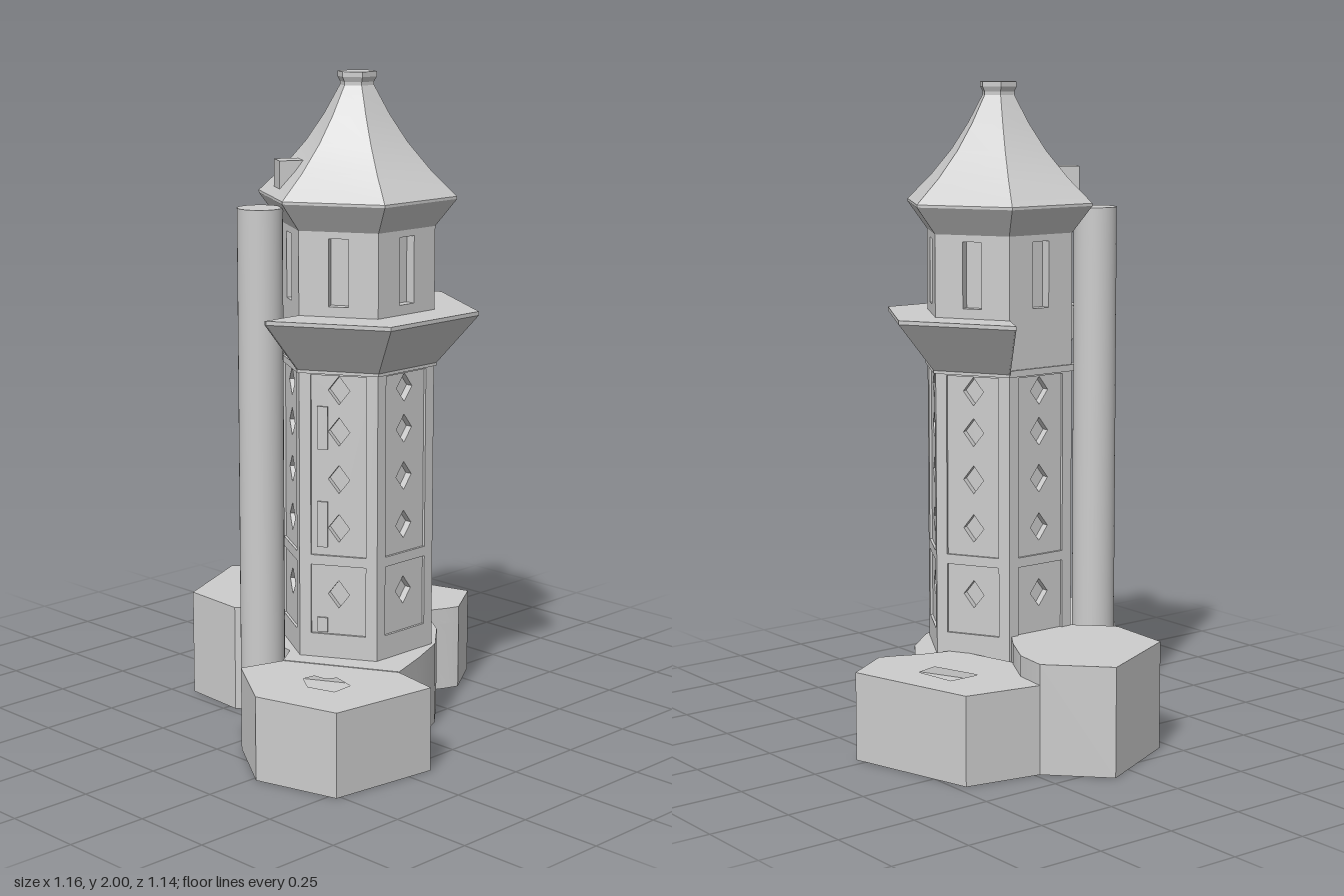
import * as THREE from 'three';
import { toCreasedNormals } from 'three/addons/utils/BufferGeometryUtils.js';

const stone = new THREE.MeshStandardMaterial({ color: 0xcccccc });
stone.name = 'grey stone';

const RADIUS = 0.24, APOTHEM = RADIUS * Math.cos(Math.PI / 6);
const CORE = APOTHEM - 0.03;

function add(parent, name, geometry, crease = 0.6) {
  const mesh = new THREE.Mesh(toCreasedNormals(geometry, crease), stone);
  mesh.name = name;
  parent.add(mesh);
  return mesh;
}

const toPath = (pts, Type = THREE.Shape) => new Type(pts.map(([x, y]) => new THREE.Vector2(x, y)));
const rect = (x0, x1, y0, y1) => [[x0, y0], [x1, y0], [x1, y1], [x0, y1]];
const diamond = (y) => [[0, y - 0.043], [0.033, y], [0, y + 0.043], [-0.033, y]];

// Flat sheet facing +z, pierced by holes, from depth z0 to z1
function plate(outline, holes, z0, z1) {
  const shape = toPath(outline);
  shape.holes = holes.map((h) => toPath(h, THREE.Path));
  const g = new THREE.ExtrudeGeometry(shape, { depth: z1 - z0, bevelEnabled: false });
  return g.translate(0, 0, z0);
}

// Block standing on the ground, outlined in x and z
function slab(outline, y0, y1, holes = []) {
  const flip = (pts) => pts.map(([x, z]) => [x, -z]);
  return plate(flip(outline), holes.map(flip), y0, y1).rotateX(-Math.PI / 2);
}

// Six-sided ring or solid from a radius/height profile, flat side to the front
function hexLathe(profile, start = Math.PI / 6, sides = 6) {
  const pts = profile.map(([r, y]) => new THREE.Vector2(r, y));
  return new THREE.LatheGeometry(pts, sides, start, sides * Math.PI / 3);
}

function createBase() {
  const base = new THREE.Group();
  base.name = 'base';

  add(base, 'centreBase', slab([
    [-0.14, 0.41], [0, 0.36], [0.13, 0.305], [0.24, 0.21], [0.33, 0.08], [0.2, -0.2],
    [-0.195, -0.185], [-0.21, -0.065], [-0.235, 0.04], [-0.31, 0.09],
  ], 0, 0.257));

  add(base, 'backBase', slab([
    [-0.21, -0.435], [0.08, -0.57], [0.235, -0.41], [0.22, -0.3], [0.155, -0.18],
    [0.1, -0.1], [-0.12, -0.11], [-0.195, -0.185], [-0.225, -0.22],
  ], 0, 0.333));

  // Side lobes, each with a shallow pit in its top
  const lobes = [
    ['leftBase', 0.27, [[0.235, -0.41], [0.47, -0.365], [0.58, 0.035], [0.43, 0.13], [0.385, 0.115],
      [0.31, 0.08], [0.2, 0.05], [0.14, -0.18], [0.2, -0.3]],
    [[0.31, -0.21], [0.41, -0.21], [0.43, -0.08], [0.36, -0.06]]],
    ['rightBase', 0.255, [[-0.445, 0.05], [-0.31, 0.09], [-0.2, 0.12], [-0.14, 0.41], [-0.17, 0.567],
      [-0.515, 0.525], [-0.585, 0.265]],
    [[-0.38, 0.25], [-0.34, 0.255], [-0.335, 0.3], [-0.305, 0.315], [-0.325, 0.39], [-0.395, 0.395], [-0.42, 0.31]]],
  ];
  for (const [name, height, outline, pit] of lobes) {
    add(base, name, slab(outline, 0, height - 0.05));
    add(base, name + 'Rim', slab(outline, height - 0.05, height, [pit]));
  }
  return base;
}

function createTower() {
  const tower = new THREE.Group();
  tower.name = 'tower';
  tower.position.z = 0.09;

  // Inner core closes the back of every recess
  add(tower, 'core', hexLathe([[0, 0.2], [CORE / Math.cos(Math.PI / 6), 0.2], [CORE / Math.cos(Math.PI / 6), 1.6], [0, 1.6]]));

  for (let i = 0; i < 6; i++) {
    const side = new THREE.Group();
    side.name = 'towerSide' + (i + 1);
    side.rotation.y = i * Math.PI / 3;
    tower.add(side);

    // Two framed panels with diamond recesses
    add(side, 'panelFrame', plate(rect(-0.12, 0.12, 0.22, 1.14),
      [rect(-0.085, 0.085, 0.33, 0.545), rect(-0.085, 0.085, 0.575, 1.125)], APOTHEM - 0.008, APOTHEM));
    add(side, 'diamondPanel', plate(rect(-0.11, 0.11, 0.22, 1.14),
      [0.455, 0.66, 0.81, 0.955, 1.08].map(diamond), CORE, APOTHEM - 0.008));

    // Lookout wall with a tall narrow window
    add(side, 'lookoutWall', plate(rect(-0.12, 0.12, 1.14, 1.57),
      [rect(-0.03, 0.03, 1.33, 1.53)], CORE, APOTHEM));

    // Small stacked tabs beside the pipe
    if (i === 5) {
      for (const [y0, y1] of [[0.335, 0.38], [0.6, 0.74], [0.9, 1.03]]) {
        add(side, 'wallTab', plate(rect(-0.066, -0.034, y0, y1), [], APOTHEM - 0.008, APOTHEM - 0.002));
      }
    }
  }

  add(tower, 'ledge', hexLathe([[0.2, 1.13], [0.248, 1.13], [0.248, 1.15], [0.2, 1.15]]));

  // Flared gallery around four of the six sides
  const flare = [[0.2, 1.13], [0.24, 1.13], [0.375, 1.288], [0.375, 1.3], [0.2, 1.3]];
  add(tower, 'gallery', hexLathe(flare, -Math.PI / 2, 4));
  for (const angle of [-Math.PI / 2, Math.PI * 5 / 6]) {
    add(tower, 'galleryEnd', plate(flare, [], -0.002, 0.002)).rotation.y = angle - Math.PI / 2;
  }

  // Flared eave, curved spire and cap
  add(tower, 'roof', hexLathe([[0.2, 1.55], [0.24, 1.55], [0.305, 1.632], [0.305, 1.64], [0.225, 1.715],
    [0.155, 1.795], [0.1, 1.875], [0.052, 1.96]]));
  add(tower, 'roofCap', hexLathe([[0.052, 1.96], [0.052, 1.97], [0.06, 1.985], [0.06, 2], [0, 2]]), 0.4);
  return tower;
}

export function createModel() {
  const model = new THREE.Group();
  model.name = 'hexagonalTower';
  model.add(createBase(), createTower());

  // Tall round pipe beside the tower
  const pipe = add(model, 'pipe', new THREE.CylinderGeometry(0.067, 0.067, 1.615, 32));
  pipe.position.set(-0.305, 0.8075, -0.005);

  // Stub chimney on the back slope of the roof
  const chimney = add(model, 'roofChimney', new THREE.BoxGeometry(0.087, 0.12, 0.072));
  chimney.position.set(-0.172, 1.685, -0.012);
  chimney.rotation.y = -Math.PI / 6;
  return model;
}
